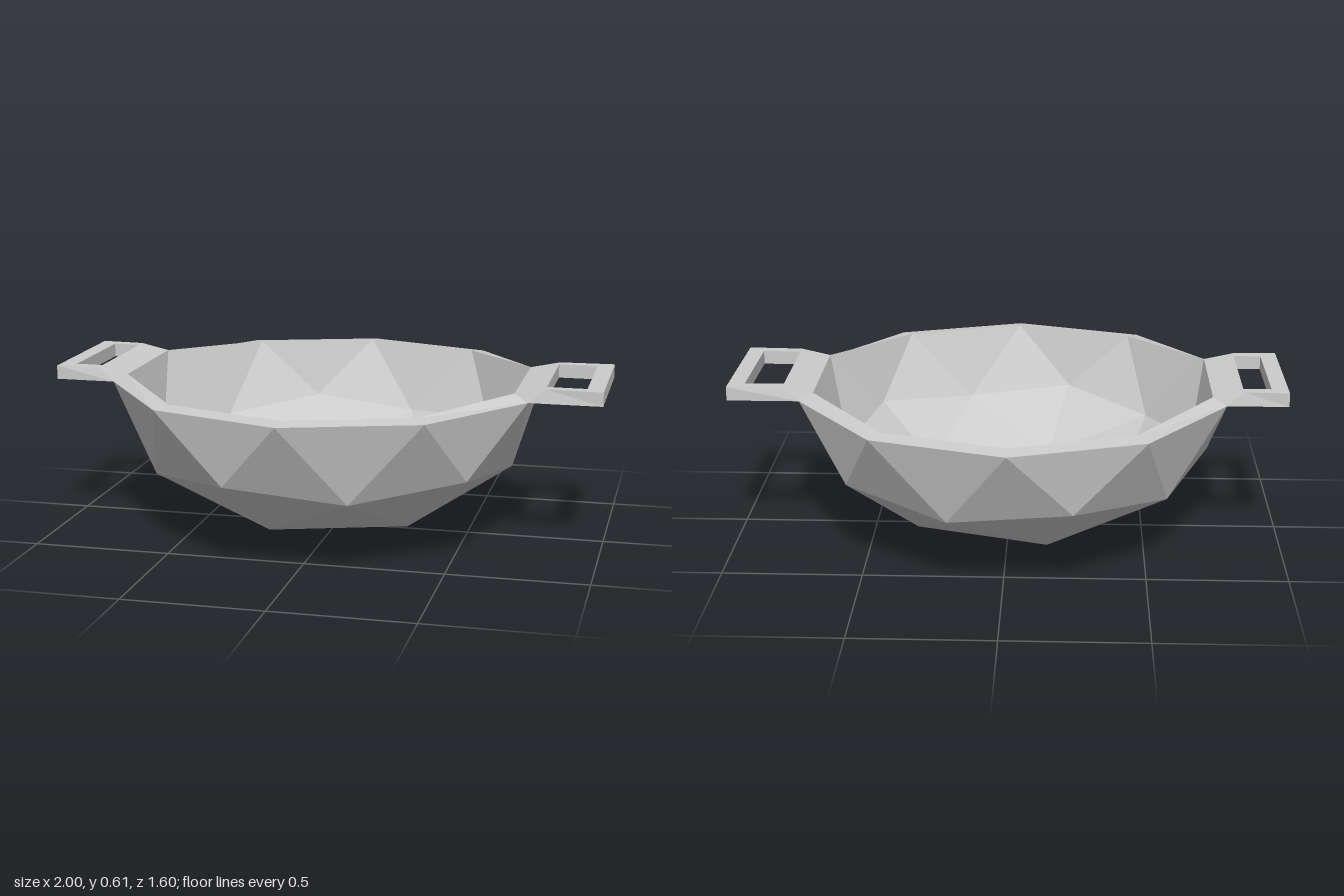
import * as THREE from 'three';

const CX = -0.02; // bowl centre in x

function polar(r, y, deg) {
  const a = THREE.MathUtils.degToRad(deg);
  return [CX + r * Math.cos(a), y, r * Math.sin(a)];
}

// Collects polygons (fans of corner points) into one flat-shaded mesh
function polyMesh(name, polys) {
  const pos = [];
  for (const p of polys)
    for (let k = 1; k < p.length - 1; k++) pos.push(...p[0], ...p[k], ...p[k + 1]);
  const geo = new THREE.BufferGeometry();
  geo.setAttribute('position', new THREE.Float32BufferAttribute(pos, 3));
  geo.computeVertexNormals();
  const mesh = new THREE.Mesh(geo, new THREE.MeshStandardMaterial({ color: 0xcccccc, flatShading: true }));
  mesh.name = name;
  return mesh;
}

// Lower half of a once-subdivided icosahedron; each ring is [radius, height]
function shellRings(bottom, ring1, corners, mids, edge) {
  const five = ([r, y], start) => Array.from({ length: 5 }, (_, i) => polar(r, y, start + 72 * i));
  return {
    pole: [CX, bottom, 0],
    R: five(ring1, 180),
    V: five(corners, 180),
    M: five(mids, 216),
    E: Array.from({ length: 10 }, (_, j) => polar(...edge(j), 198 + 36 * j)),
  };
}

function shellFaces({ pole, R, V, M, E }) {
  const faces = [];
  for (let i = 0; i < 5; i++) {
    const n = (i + 1) % 5, e = 2 * i;
    faces.push(
      [pole, R[i], R[n]], [R[i], M[i], R[n]],
      [R[i], V[i], M[i]], [R[n], M[i], V[n]],
      [V[i], E[(e + 9) % 10], E[e]], [M[i], E[e], E[e + 1]],
      [V[i], E[e], M[i]], [M[i], E[e + 1], V[n]]
    );
  }
  return faces;
}

// Handle: sloped deck rising from the rim, then a rectangular frame with a hole
function handle(name, s, rimIn, rimOut, kinkX) {
  const top = 0.61, bottom = 0.56;
  const loop = (x0, z0, x1, z1, y) =>
    [[s * x0, y, -z0], [s * x0, y, z0], [s * x1, y, z1], [s * x1, y, -z1]];
  const outTop = loop(kinkX, 0.238, 1, 0.247, top);
  const holeTop = loop(kinkX, 0.2, 0.94, 0.2, top);
  const holeBot = loop(kinkX, 0.2, 0.94, 0.2, bottom);
  const outBot = [...rimOut, ...loop(1, 0.247, 1, 0.247, bottom).slice(2)];
  const faces = [
    [rimIn[0], rimIn[1], outTop[1], outTop[0]],
    [rimIn[1], outBot[1], outTop[1]],
    [rimIn[0], outTop[0], outBot[0]],
  ];
  for (let k = 0; k < 4; k++) {
    const n = (k + 1) % 4;
    faces.push(
      [outTop[k], outTop[n], holeTop[n], holeTop[k]],
      [outBot[k], holeBot[k], holeBot[n], outBot[n]],
      [holeTop[k], holeTop[n], holeBot[n], holeBot[k]]
    );
    if (k > 0) faces.push([outTop[k], outBot[k], outBot[n], outTop[n]]);
  }
  // Mirrored side needs its corner order reversed
  return polyMesh(name, s > 0 ? faces : faces.map((f) => f.reverse()));
}

export function createModel() {
  const group = new THREE.Group();
  group.name = 'twoHandledBowl';

  const outer = shellRings(0, [0.421, 0.084], [0.715, 0.31], [0.68, 0.265], () => [0.8, 0.56]);
  // Inner rim is raised where it meets the handles
  const atHandle = (j) => [0, 4, 5, 9].includes(j);
  const inner = shellRings(0.07, [0.388, 0.15], [0.654, 0.353], [0.622, 0.314],
    (j) => (atHandle(j) ? [0.748, 0.588] : [0.735, 0.569]));

  group.add(polyMesh('bowlOutside', shellFaces(outer)));
  group.add(polyMesh('bowlInside', shellFaces(inner).map((f) => f.reverse())));

  // Rim between the two shells, left out under the handles
  const rim = [];
  for (let j = 0; j < 10; j++) {
    const n = (j + 1) % 10;
    if (j !== 4 && j !== 9) rim.push([outer.E[j], inner.E[j], inner.E[n], outer.E[n]]);
  }
  group.add(polyMesh('rim', rim));

  const pick = (shell, a, b) => [shell.E[a], shell.E[b]];
  group.add(handle('leftHandle', 1, pick(inner, 4, 5), pick(outer, 4, 5), 0.8));
  group.add(handle('rightHandle', -1, pick(inner, 0, 9), pick(outer, 0, 9), 0.84));
  return group;
}
